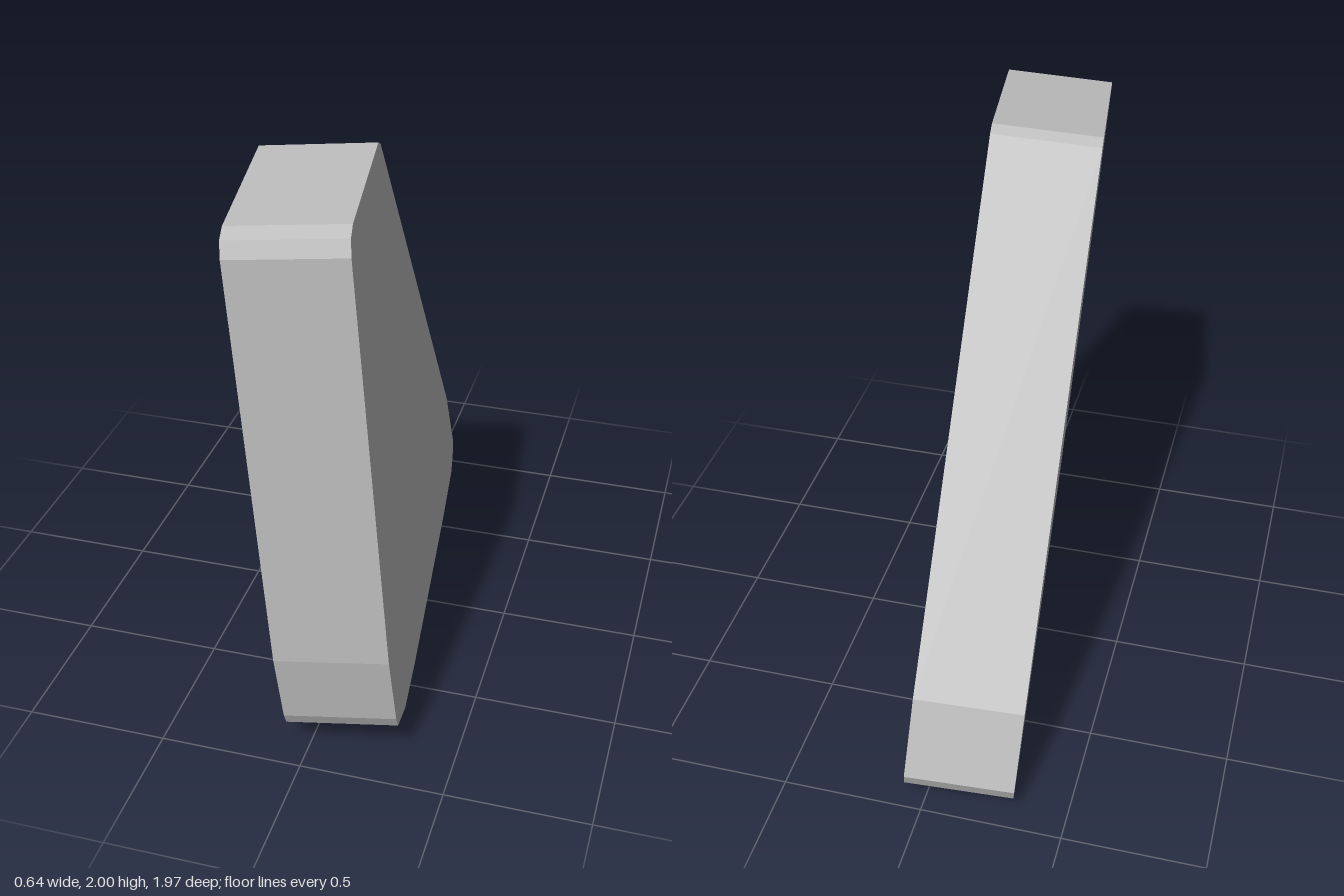
import * as THREE from 'three';

export function createModel() {
  const group = new THREE.Group();
  const stone = new THREE.MeshStandardMaterial({ color: 0xbcbcbc });
  stone.name = 'stone grey';

  // Slab outline on its left face, as (z, y)
  const outline = [
    [0.30, 2.0], [0.26, 1.98], [-0.87, 0.40], [-0.98, 0.13], [-0.965, 0.085],
    [-0.86, 0.036], [-0.52, 0.034], [0.45, 0.07], [0.72, 0.093], [0.88, 0.155],
    [0.90, 0.20], [0.935, 0.46], [0.91, 1.89], [0.89, 1.942], [0.84, 1.965],
  ].map(([z, y]) => new THREE.Vector2(z, y));

  const geometry = new THREE.ExtrudeGeometry(new THREE.Shape(outline), {
    depth: 1, bevelEnabled: false,
  });

  // Lean the slab: outline axes and thickness become a tilted frame
  geometry.applyMatrix4(new THREE.Matrix4().set(
    0.135, -0.083, -0.38, 0.206,
    0, 1, -0.031, -0.002,
    1, 0, 0.051, 0,
    0, 0, 0, 1,
  ));
  geometry.computeVertexNormals();

  const slab = new THREE.Mesh(geometry, stone);
  slab.name = 'stoneSlab';
  group.add(slab);
  return group;
}
